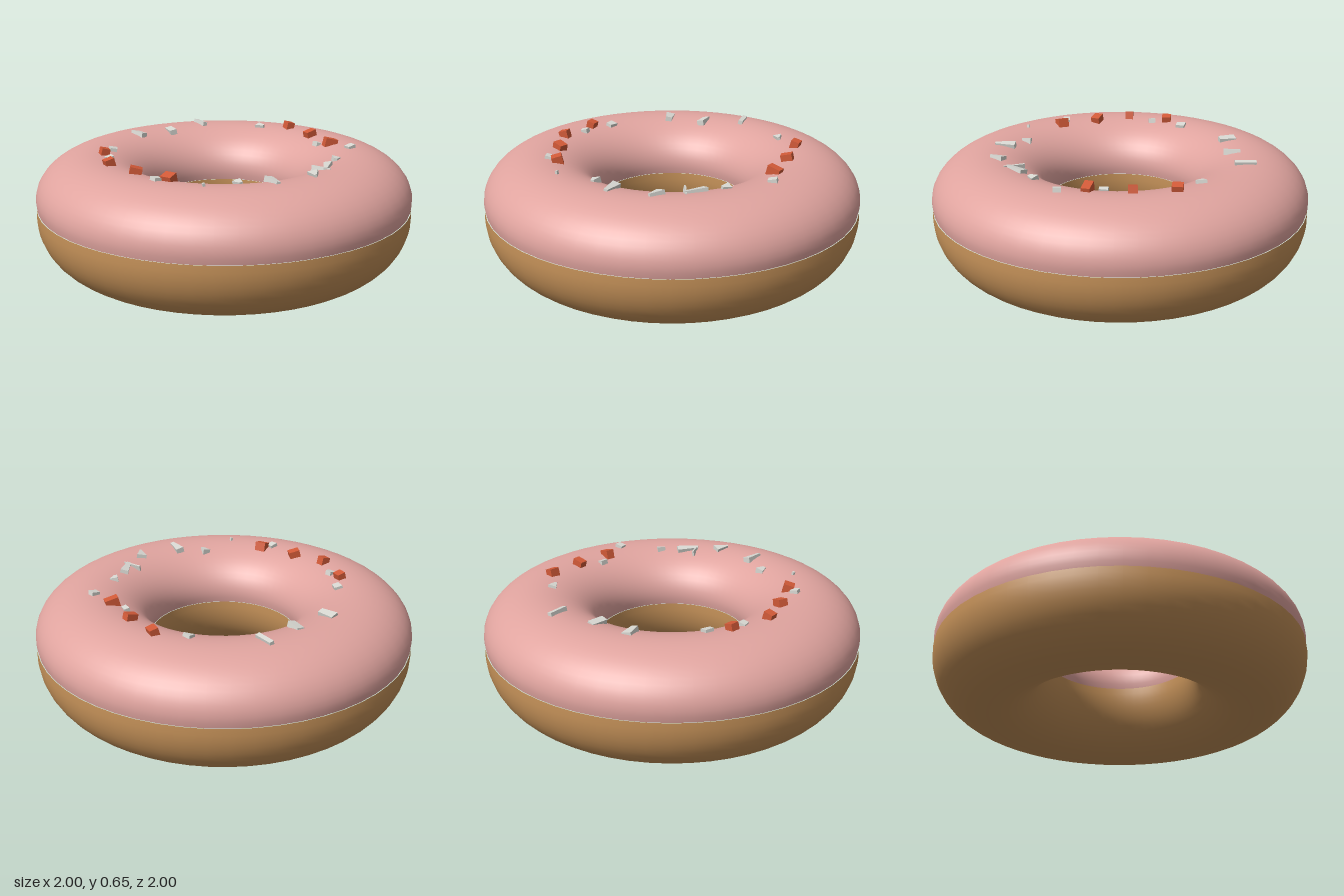
import * as THREE from 'three';

const dough = new THREE.MeshStandardMaterial({ name: 'dough brown', color: 0xc28f57 });
const icing = new THREE.MeshStandardMaterial({ name: 'icing pink', color: 0xe0a49f });
const orange = new THREE.MeshStandardMaterial({ name: 'sprinkle orange', color: 0xd25a38 });
const white = new THREE.MeshStandardMaterial({ name: 'sprinkle white', color: 0xd8d8d2 });
for (const m of [orange, white]) m.flatShading = true;

const R = 0.695, TUBE = 0.305, SEAM = 0.345;

// Ring swept from part of an ellipse, counterclockwise from angle a to angle b
function ring(name, material, centerY, height, a, b) {
  const points = [];
  for (let i = 0; i <= 28; i++) {
    const t = a + (b - a) * i / 28;
    points.push(new THREE.Vector2(R + TUBE * Math.cos(t), centerY + height * Math.sin(t)));
  }
  const mesh = new THREE.Mesh(new THREE.LatheGeometry(points, 56), material);
  mesh.name = name;
  return mesh;
}

// Height of the icing at a ground position
function icingHeight(x, z) {
  const d = (Math.hypot(x, z) - R) / TUBE;
  return 0.392 + 0.225 * Math.sqrt(Math.max(0, 1 - d * d));
}

// Block whose far end is narrowed by the given taper
function block(w, h, d, taper) {
  const g = new THREE.BoxGeometry(w, h, d);
  const p = g.attributes.position;
  for (let i = 0; i < p.count; i++) {
    if (p.getZ(i) > 0) p.setX(i, p.getX(i) * taper);
  }
  g.computeVertexNormals();
  return g;
}

export function createModel() {
  const model = new THREE.Group();
  model.name = 'donut';

  // Dough below the seam, icing above it
  const lower = Math.asin((SEAM - 0.305) / 0.305);
  const upper = Math.asin((0.392 - SEAM) / 0.225);
  model.add(ring('dough', dough, 0.305, 0.305, Math.PI - lower, 2 * Math.PI + lower));
  model.add(ring('icing', icing, 0.392, 0.225, -upper, Math.PI + upper));

  // Orange sprinkles: x, z, width, depth, turn
  const orangeSprinkles = [
    [-0.605, -0.19, 0.045, 0.05, 0], [-0.645, 0.035, 0.05, 0.045, 0.1],
    [-0.565, 0.215, 0.06, 0.05, -0.3], [-0.46, 0.405, 0.055, 0.06, 0.6],
    [0.565, -0.355, 0.045, 0.055, 0], [0.595, -0.145, 0.06, 0.045, 0.15],
    [0.605, 0.07, 0.07, 0.045, -0.15],
  ];
  // White sprinkles: x, z, width, depth, turn, taper
  const whiteSprinkles = [
    [-0.29, -0.555, 0.05, 0.09, 0.35, 0.7], [-0.085, -0.59, 0.04, 0.09, 0, 1],
    [0.13, -0.665, 0.025, 0.11, 0.15, 1], [0.43, -0.455, 0.045, 0.05, 0.5, 0.3],
    [-0.53, -0.28, 0.045, 0.05, -0.2, 0.8], [-0.6, -0.105, 0.04, 0.04, 0.2, 0.8],
    [0.56, 0, 0.03, 0.045, 0, 0.8], [0.65, 0.21, 0.045, 0.04, 0.2, 1],
    [0.47, 0.37, 0.045, 0.045, -0.6, 0.4], [0.36, 0.48, 0.045, 0.12, -0.6, 0.5],
    [0.315, 0.5, 0.01, 0.11, 0.5, 0.6], [0.215, 0.615, 0.055, 0.08, -0.3, 0.2],
    [-0.015, 0.63, 0.045, 0.11, 0, 0.45], [-0.155, 0.545, 0.045, 0.05, 0.1, 0.4],
    [-0.52, 0.39, 0.045, 0.04, 0.2, 0.8], [-0.35, 0.58, 0.012, 0.015, 0, 1],
  ];

  const addSprinkle = (name, material, height, lift, tilt) => ([x, z, w, d, turn, taper = 1], i) => {
    const mesh = new THREE.Mesh(block(w, height, d, taper), material);
    mesh.name = name + (i + 1);
    mesh.position.set(x, icingHeight(x, z) + lift, z);
    mesh.rotation.set(0, turn, (i % 2 ? 1 : -1) * tilt);
    model.add(mesh);
  };
  orangeSprinkles.forEach(addSprinkle('orangeSprinkle', orange, 0.05, 0.009, 0.25));
  whiteSprinkles.forEach(addSprinkle('whiteSprinkle', white, 0.03, 0.001, 0.2));

  return model;
}
